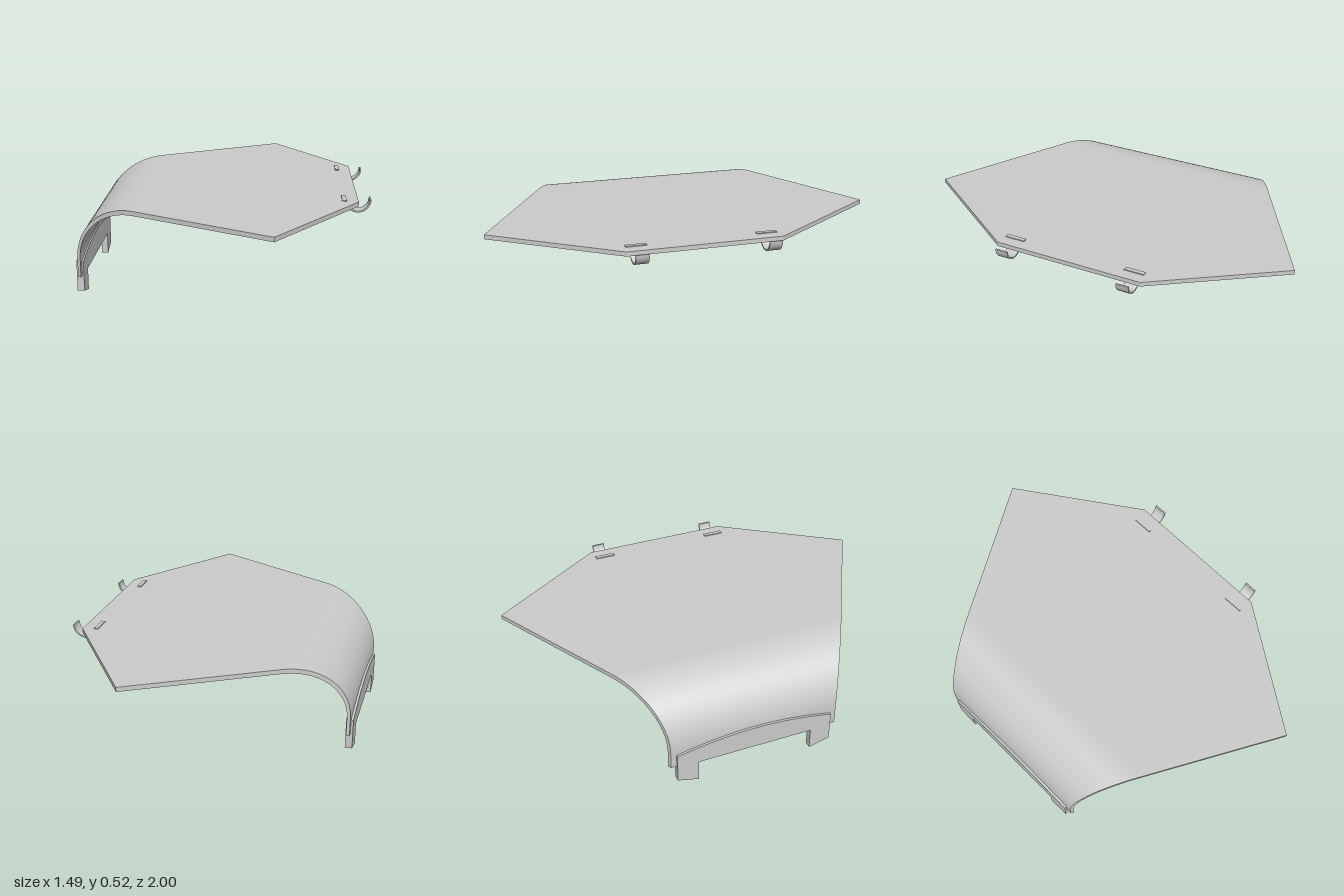
import * as THREE from 'three';
import { toCreasedNormals } from 'three/addons/utils/BufferGeometryUtils.js';

const material = new THREE.MeshStandardMaterial({ color: 0xcccccc });

// Half width of the sheet at a given x: widens to the side points, then narrows.
const halfWidth = (x) => x < 0.26
  ? THREE.MathUtils.mapLinear(x, -0.733, 0.26, 0.445, 1)
  : THREE.MathUtils.mapLinear(x, 0.26, 0.675, 1, 0.39);

// Bent sheet lofted from rectangular cross-sections along its profile.
function sheetGeometry() {
  const steps = 24, cx = -0.42, cy = 0.215;
  const sections = [[[-0.733, 0.115], [-0.717, 0.115]]]; // [outer, inner]
  for (let i = 0; i <= steps; i++) {
    const a = (i / steps) * Math.PI / 2, c = Math.cos(a), s = Math.sin(a);
    sections.push([[cx - 0.313 * c, cy + 0.3 * s], [cx - 0.297 * c, cy + 0.277 * s]]);
  }
  for (const x of [0.26, 0.675]) sections.push([[x, 0.515], [x, 0.492]]);

  const positions = [], index = [];
  for (const [o, n] of sections) {
    const wo = halfWidth(o[0]), wi = halfWidth(n[0]);
    positions.push(...o, wo, ...o, -wo, ...n, -wi, ...n, wi);
  }
  const quad = (a, b, c, d) => index.push(a, b, c, a, c, d);
  const last = (sections.length - 1) * 4;
  for (let i = 0; i < last; i += 4) {
    for (let j = 0; j < 4; j++) {
      const k = (j + 1) % 4;
      quad(i + j, i + 4 + j, i + 4 + k, i + k);
    }
  }
  quad(0, 1, 2, 3);
  quad(last + 3, last + 2, last + 1, last);
  const geometry = new THREE.BufferGeometry();
  geometry.setAttribute('position', new THREE.Float32BufferAttribute(positions, 3));
  geometry.setIndex(index);
  return toCreasedNormals(geometry, 0.5);
}

// End plate with an arched top and two slanted feet, drawn in (z, y).
function plateGeometry() {
  const shape = new THREE.Shape();
  shape.moveTo(-0.415, 0.03);
  shape.lineTo(-0.305, 0);
  shape.lineTo(-0.305, 0.115);
  shape.lineTo(0.305, 0.115);
  shape.lineTo(0.305, 0);
  shape.lineTo(0.415, 0.03);
  shape.lineTo(0.415, 0.187);
  shape.quadraticCurveTo(0, 0.285, -0.415, 0.187);
  const geometry = new THREE.ExtrudeGeometry(shape, { depth: 0.036, bevelEnabled: false, curveSegments: 24 });
  geometry.rotateY(-Math.PI / 2);
  geometry.translate(-0.709, 0, 0);
  return toCreasedNormals(geometry, 0.5);
}

// Thin half-round strip hanging under the sheet edge.
function hookGeometry() {
  const width = 0.066, r = 0.066, t = 0.008;
  const shape = new THREE.Shape();
  shape.absarc(0, 0, r, Math.PI, Math.PI * 2, false);
  shape.absarc(0, 0, r - t, Math.PI * 2, Math.PI, true);
  const geometry = new THREE.ExtrudeGeometry(shape, { depth: width, bevelEnabled: false, curveSegments: 24 });
  geometry.translate(0.674, 0.518, -width / 2);
  return toCreasedNormals(geometry, 0.5);
}

export function createModel() {
  const group = new THREE.Group();
  const add = (name, geometry, parent = group) => {
    const mesh = new THREE.Mesh(geometry, material);
    mesh.name = name;
    parent.add(mesh);
    return mesh;
  };

  add('bentSheet', sheetGeometry());
  add('footPlate', plateGeometry());

  // Clips: a hook below and its crossbar showing through the top
  for (const side of [1, -1]) {
    const clip = new THREE.Group();
    clip.name = side > 0 ? 'frontClip' : 'backClip';
    clip.position.z = side * 0.328;
    add('hook', hookGeometry(), clip);
    add('crossbar', new THREE.BoxGeometry(0.022, 0.02, 0.104).translate(0.605, 0.51, 0), clip);
    group.add(clip);
  }
  return group;
}
